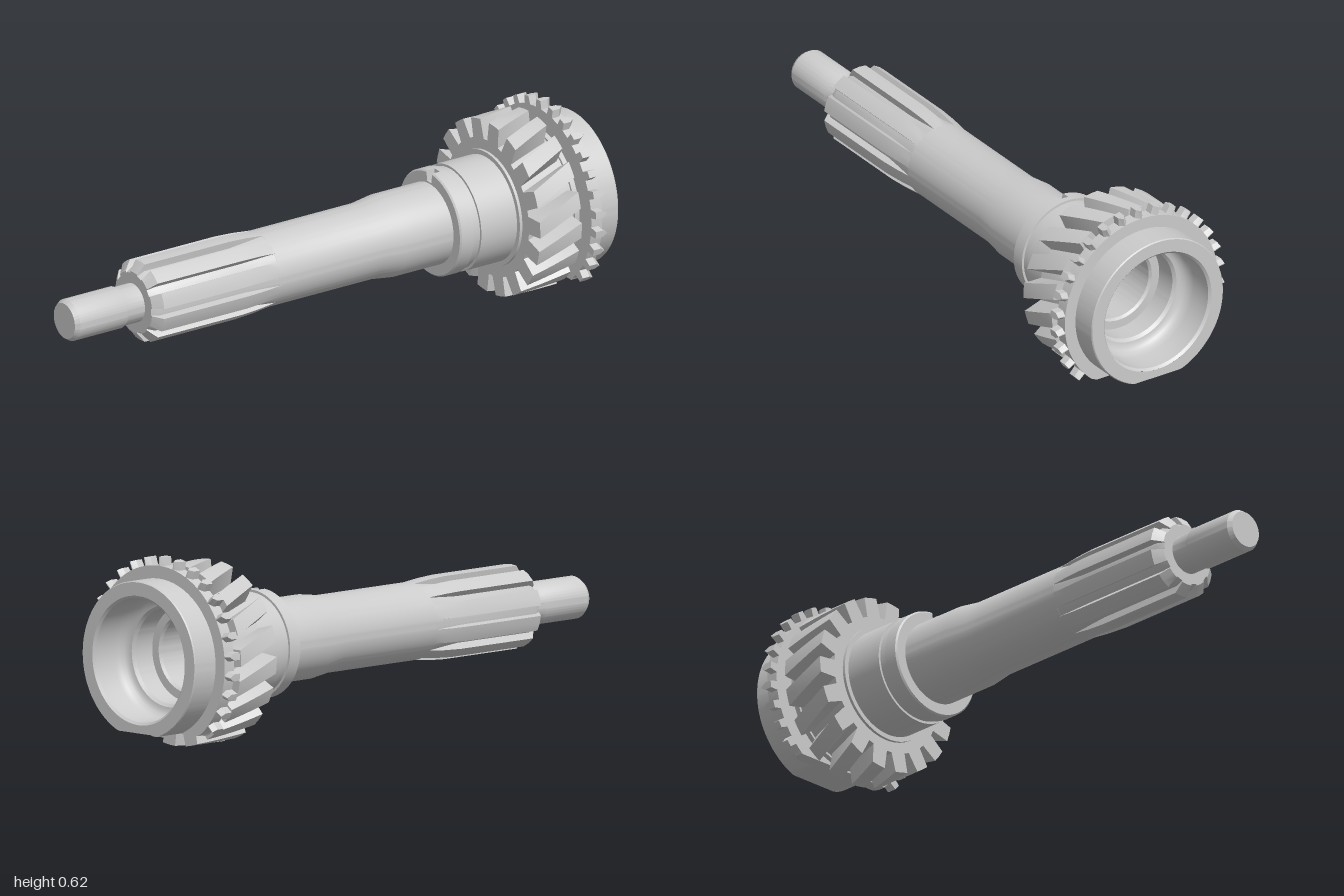
import * as THREE from 'three';
import { toCreasedNormals } from 'three/addons/utils/BufferGeometryUtils.js';

const AXIS_Y = 0.297;
const FLAT = 0.238; // distance from the axis to the flat cut on the underside
const mat = new THREE.MeshStandardMaterial({ color: 0xcccccc });

function addMesh(group, name, geometry) {
  const mesh = new THREE.Mesh(toCreasedNormals(geometry, 0.5), mat);
  mesh.name = name;
  group.add(mesh);
}

// Skins cross-sections along the x axis; each ring is a list of [angle, radius], angle 0 is up
function loft(sections) {
  const pos = [], idx = [], n = sections[0].ring.length;
  for (const { x, ring } of sections)
    for (const [a, r] of ring) pos.push(x, r * Math.cos(a), r * Math.sin(a));
  for (let j = 0; j < sections.length - 1; j++)
    for (let i = 0; i < n; i++) {
      const k = (i + 1) % n, a = j * n + i, b = j * n + k;
      idx.push(a, b, b + n, a, b + n, a + n);
    }
  const g = new THREE.BufferGeometry();
  g.setAttribute('position', new THREE.Float32BufferAttribute(pos, 3));
  g.setIndex(idx);
  return g;
}

// Closes both ends of a loft down to an inner radius
function capped(sections, inner) {
  const cap = ({ x, ring }) => ({ x, ring: ring.map(([a]) => [a, inner]) });
  return [cap(sections[0]), ...sections, cap(sections[sections.length - 1])];
}

// Toothed ring: half widths are given in radians
function teeth(count, root, tip, rootHalf, tipHalf, turn = 0) {
  const ring = [], pitch = (Math.PI * 2) / count;
  for (let i = 0; i < count; i++) {
    const c = i * pitch + turn;
    ring.push([c - rootHalf, root], [c - tipHalf, tip], [c, tip], [c + tipHalf, tip], [c + rootHalf, root]);
    for (const t of [1 / 3, 2 / 3]) ring.push([c + rootHalf + (pitch - 2 * rootHalf) * t, root]);
  }
  return ring;
}

function circle(r, n = 180) {
  return Array.from({ length: n }, (_, i) => [(i / n) * Math.PI * 2, r]);
}

// Limits a ring to the flat on the underside
function clip(ring) {
  return ring.map(([a, r]) => [a, Math.cos(a) < 0 ? Math.min(r, -FLAT / Math.cos(a)) : r]);
}

function lathe(points) {
  const g = new THREE.LatheGeometry(points.map(([x, r]) => new THREE.Vector2(r, x)), 96);
  return g.rotateZ(-Math.PI / 2);
}

export function createModel() {
  const group = new THREE.Group();
  const axis = new THREE.Group();
  axis.name = 'inputShaft';
  axis.position.y = AXIS_Y;
  group.add(axis);

  // Turned shaft with pilot nose, bearing seat and neck
  addMesh(axis, 'shaft', lathe([
    [-1, 0], [-1, 0.06], [-0.985, 0.07], [-0.8, 0.07], [-0.79, 0.065], [-0.7, 0.065],
    [-0.7, 0.1], [-0.27, 0.1], [-0.24, 0.127], [0.17, 0.127], [0.25, 0.138], [0.484, 0.138],
    [0.484, 0.171], [0.515, 0.171], [0.515, 0.179], [0.655, 0.179], [0.655, 0.195], [0.7, 0.195],
    [0.7, 0.225], [0.845, 0.225], [0.845, 0.233], [0.89, 0.233],
  ]));

  // Stepped bore with a conical floor and small drilled centre
  addMesh(axis, 'bore', lathe([
    [1, 0.211], [0.992, 0.203], [0.91, 0.203], [0.89, 0.199], [0.875, 0.19], [0.867, 0.178],
    [0.865, 0.166], [0.855, 0.157], [0.78, 0.157], [0.78, 0.128], [0.772, 0.121],
    [0.62, 0.121], [0.555, 0.019], [0.5, 0.019], [0.49, 0],
  ]));

  // Splines whose grooves run out into the plain shaft
  const spline = (x, root, tip) => ({ x, ring: teeth(10, root, tip, 0.2, 0.19) });
  addMesh(axis, 'splines', loft(capped([
    spline(-0.728, 0.1, 0.105), spline(-0.702, 0.113, 0.138), spline(-0.37, 0.113, 0.138),
    spline(-0.3, 0.12, 0.134), spline(-0.235, 0.127, 0.127),
  ], 0.06)));

  // Bearing lip with a notch on top
  const notchAngles = [-0.09, -0.085, 0.085, 0.09];
  for (let i = 1; i < 90; i++) notchAngles.push(0.09 + (i / 90) * (Math.PI * 2 - 0.18));
  const lip = (x, r, depth) => ({
    x, ring: notchAngles.map((a) => [a, Math.abs(a) < 0.087 ? r - depth : r]),
  });
  addMesh(axis, 'bearingLip', loft(capped([
    lip(0.434, 0.174, 0.03), lip(0.439, 0.179, 0.035), lip(0.465, 0.179, 0.035),
    lip(0.465, 0.179, 0), lip(0.486, 0.179, 0),
  ], 0.13)));

  // Helical gear
  const gear = [];
  for (let i = 0; i <= 6; i++) {
    const t = i / 6;
    gear.push({ x: 0.665 + 0.163 * t, ring: teeth(18, 0.232, 0.297, 0.13, 0.092, 0.11 - 0.22 * t) });
  }
  addMesh(axis, 'helicalGear', loft(capped(gear, 0.19)));

  // Dog ring, teeth pointed towards the open end, flat on the underside
  const dog = (x, half) => ({ x, ring: clip(teeth(30, 0.3, 0.328, half * 1.4, half)) });
  addMesh(axis, 'dogRing', loft(capped([dog(0.863, 0.036), dog(0.89, 0.036), dog(0.906, 0.004)], 0.213)));

  // Collar at the open end, sharing the same flat
  const collar = (x, r) => ({ x, ring: clip(circle(r)) });
  addMesh(axis, 'endCollar', loft(capped([collar(0.9, 0.258), collar(0.996, 0.258), collar(1, 0.255)], 0.211)));

  return group;
}
